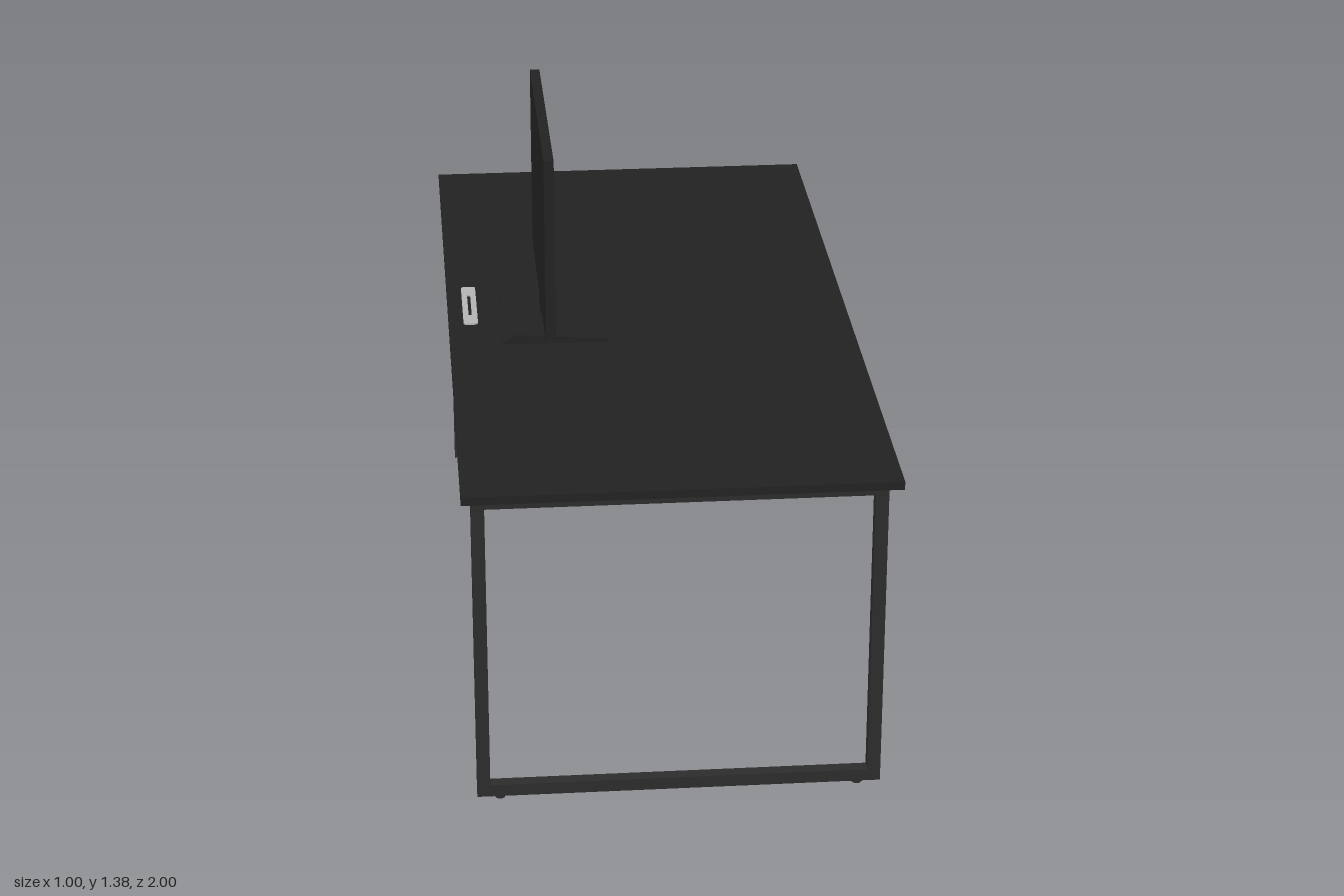
import * as THREE from 'three';

const mat = (color) => new THREE.MeshStandardMaterial({ color });
const deskMat = mat(0x222222);
const frameMat = mat(0x2c2c2c);
const monitorMat = mat(0x222222);
const screenMat = mat(0x2f2f2f);
const grommetMat = mat(0xb4b4b4);

function add(parent, name, geometry, material) {
  const mesh = new THREE.Mesh(geometry, material);
  mesh.name = name;
  parent.add(mesh);
  return mesh;
}

// Box given by its min and max corners
function box(parent, name, material, [x0, y0, z0], [x1, y1, z1]) {
  const geometry = new THREE.BoxGeometry(x1 - x0, y1 - y0, z1 - z0);
  geometry.translate((x0 + x1) / 2, (y0 + y1) / 2, (z0 + z1) / 2);
  return add(parent, name, geometry, material);
}

function rect(target, x0, y0, x1, y1) {
  target.moveTo(x0, y0);
  target.lineTo(x1, y0);
  target.lineTo(x1, y1);
  target.lineTo(x0, y1);
  target.closePath();
  return target;
}

// Rectangle with rounded corners, centred on the origin
function roundRect(target, w, h, r) {
  const x = w / 2 - r, y = h / 2 - r;
  target.absarc(x, y, r, 0, Math.PI / 2);
  target.absarc(-x, y, r, Math.PI / 2, Math.PI);
  target.absarc(-x, -y, r, Math.PI, Math.PI * 1.5);
  target.absarc(x, -y, r, Math.PI * 1.5, Math.PI * 2);
  target.closePath();
  return target;
}

// Profile in x and y, extruded from z0 to z1
function extrude(shape, z0, z1) {
  const geometry = new THREE.ExtrudeGeometry(shape, { depth: z1 - z0, bevelEnabled: false, curveSegments: 6 });
  return geometry.translate(0, 0, z0);
}

function profile(points) {
  return new THREE.Shape(points.map(([x, y]) => new THREE.Vector2(x, y)));
}

function createLegFrame(side) {
  const frame = new THREE.Group();
  frame.name = side > 0 ? 'frontLegFrame' : 'backLegFrame';
  // Closed loop of square tube
  const loop = rect(new THREE.Shape(), -0.477, 0.009, 0.477, 0.795);
  loop.holes.push(rect(new THREE.Path(), -0.446, 0.039, 0.446, 0.764));
  add(frame, 'tubeLoop', extrude(loop, -0.015, 0.015), frameMat);
  for (const x of [-0.423, 0.423]) {
    box(frame, 'spacer', frameMat, [x - 0.022, 0.795, -0.01], [x + 0.022, 0.814, 0.006]);
    const foot = add(frame, 'foot', new THREE.CylinderGeometry(0.012, 0.012, 0.01, 16), frameMat);
    foot.position.set(x, 0.005, 0);
  }
  frame.position.z = side * 0.911;
  return frame;
}

function createMonitor() {
  const monitor = new THREE.Group();
  monitor.name = 'monitor';
  // Wedge base, high at the back
  const base = profile([[-0.368, 0.833], [-0.11, 0.833], [-0.11, 0.841], [-0.25, 0.852], [-0.34, 0.858], [-0.368, 0.841]]);
  add(monitor, 'standBase', extrude(base, -0.16, 0.171), monitorMat);
  const neck = profile([[-0.271, 0.85], [-0.247, 0.85], [-0.253, 0.915], [-0.267, 0.915]]);
  add(monitor, 'standNeck', extrude(neck, -0.041, 0.057), monitorMat);
  // Housing with a raised rim around the screen
  box(monitor, 'housing', monitorMat, [-0.273, 0.912, -0.308], [-0.255, 1.376, 0.341]);
  const rim = rect(new THREE.Shape(), -0.3245, 0.912, 0.3245, 1.376);
  rim.holes.push(rect(new THREE.Path(), -0.305, 0.932, 0.305, 1.357));
  const bezel = add(monitor, 'bezel', extrude(rim, 0, 0.006), monitorMat);
  bezel.rotation.y = Math.PI / 2;
  bezel.position.set(-0.255, 0, 0.0165);
  box(monitor, 'screen', screenMat, [-0.258, 0.932, -0.2885], [-0.2535, 1.357, 0.3215]);
  return monitor;
}

// Pale cable outlet with a slot, set through the top
function createCableOutlet() {
  const plate = roundRect(new THREE.Shape(), 0.036, 0.232, 0.008);
  plate.holes.push(roundRect(new THREE.Path(), 0.008, 0.13, 0.003));
  const outlet = new THREE.Mesh(extrude(plate, 0.811, 0.837), grommetMat);
  outlet.name = 'cableOutlet';
  outlet.rotation.x = -Math.PI / 2;
  outlet.position.set(-0.445, 0, -0.073);
  return outlet;
}

export function createModel() {
  const desk = new THREE.Group();
  desk.name = 'deskWithMonitor';
  box(desk, 'deskTop', deskMat, [-0.5, 0.813, -1], [0.5, 0.833, 1]);
  for (const side of [1, -1]) desk.add(createLegFrame(side));
  desk.add(createMonitor(), createCableOutlet());
  return desk;
}
